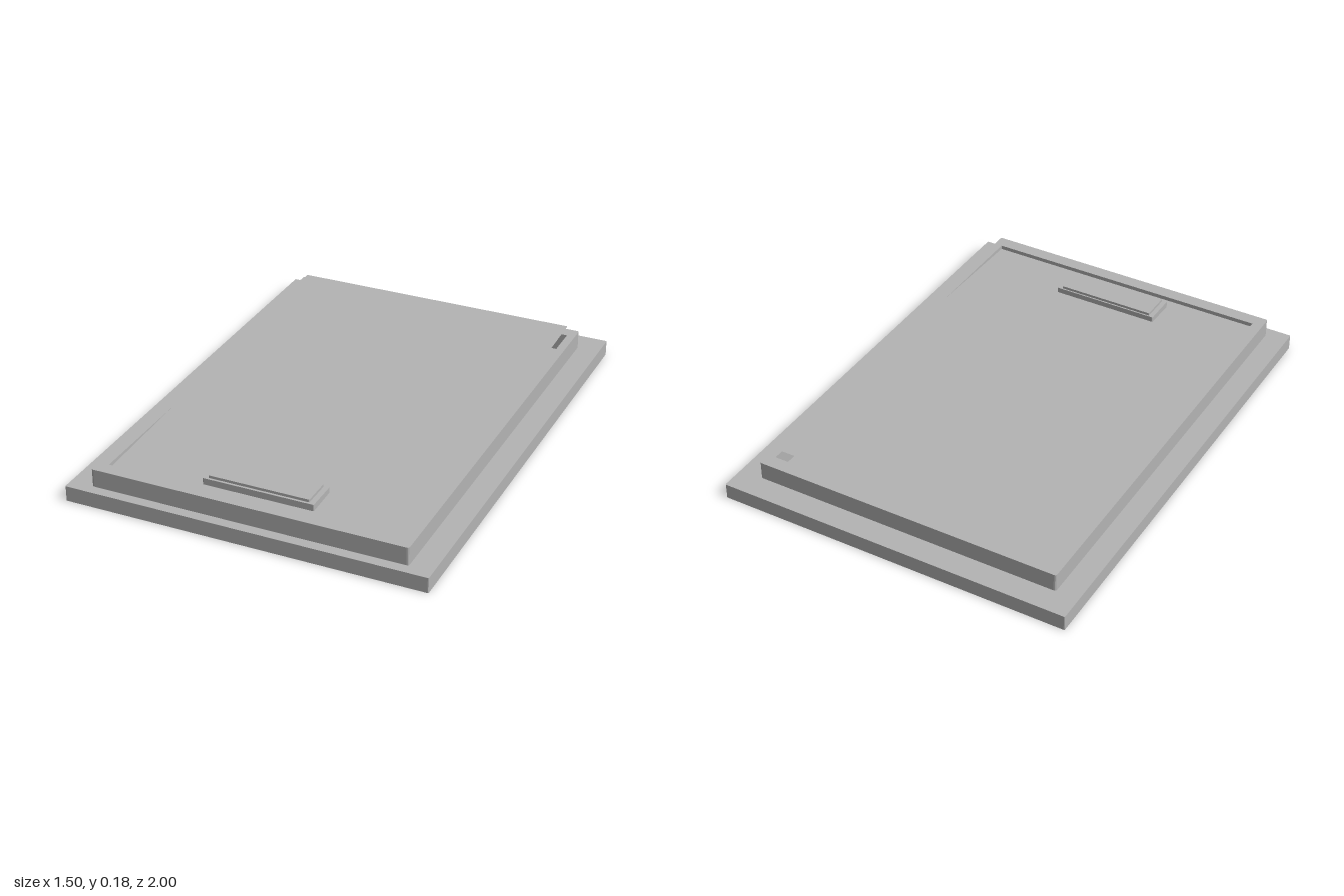
import * as THREE from 'three';

// Traces a rectangle with small rounded corners, given its extents in x and z
function trace(path, x0, x1, z0, z1, r) {
  const y0 = -z1, y1 = -z0;
  path.moveTo(x0 + r, y0);
  path.lineTo(x1 - r, y0);
  path.quadraticCurveTo(x1, y0, x1, y0 + r);
  path.lineTo(x1, y1 - r);
  path.quadraticCurveTo(x1, y1, x1 - r, y1);
  path.lineTo(x0 + r, y1);
  path.quadraticCurveTo(x0, y1, x0, y1 - r);
  path.lineTo(x0, y0 + r);
  path.quadraticCurveTo(x0, y0, x0 + r, y0);
  return path;
}

export function createModel() {
  const group = new THREE.Group();
  const grey = new THREE.MeshStandardMaterial({ color: 0xb4b4b4, side: THREE.DoubleSide });
  grey.name = 'grey';

  // Upright slab between two heights, with an optional opening
  function slab(name, rect, y0, y1, r, hole) {
    const shape = trace(new THREE.Shape(), ...rect, r);
    if (hole) shape.holes.push(trace(new THREE.Path(), ...hole, 0.002));
    const geo = new THREE.ExtrudeGeometry(shape, {
      depth: y1 - y0, bevelEnabled: false, curveSegments: 3,
    });
    geo.rotateX(-Math.PI / 2);
    geo.translate(0, y0, 0);
    const mesh = new THREE.Mesh(geo, grey);
    mesh.name = name;
    group.add(mesh);
  }

  // Base plate and the frame standing on it
  const opening = [-0.61, 0.618, -0.84, 0.9];
  slab('basePlate', [-0.748, 0.748, -1, 1], 0, 0.064, 0.004);
  slab('frame', [-0.655, 0.653, -0.897, 0.957], 0.064, 0.139, 0.01, opening);

  // Thin lid, sunk at the front and raised at the back
  const [x0, x1, z0, z1] = opening;
  const lidGeo = new THREE.PlaneGeometry(x1 - x0, z1 - z0);
  lidGeo.rotateX(-Math.PI / 2);
  lidGeo.translate((x0 + x1) / 2, 0, (z0 + z1) / 2);
  const p = lidGeo.attributes.position;
  for (let i = 0; i < p.count; i++) p.setY(i, p.getZ(i) < 0 ? 0.182 : 0.122);
  lidGeo.computeVertexNormals();
  const lid = new THREE.Mesh(lidGeo, grey);
  lid.name = 'lid';
  group.add(lid);

  // Stepped handle near the front of the lid
  slab('handleBase', [-0.23, 0.23, 0.715, 0.855], 0.12, 0.151, 0.004);
  slab('handleTop', [-0.21, 0.208, 0.721, 0.845], 0.151, 0.162, 0.003);

  return group;
}
